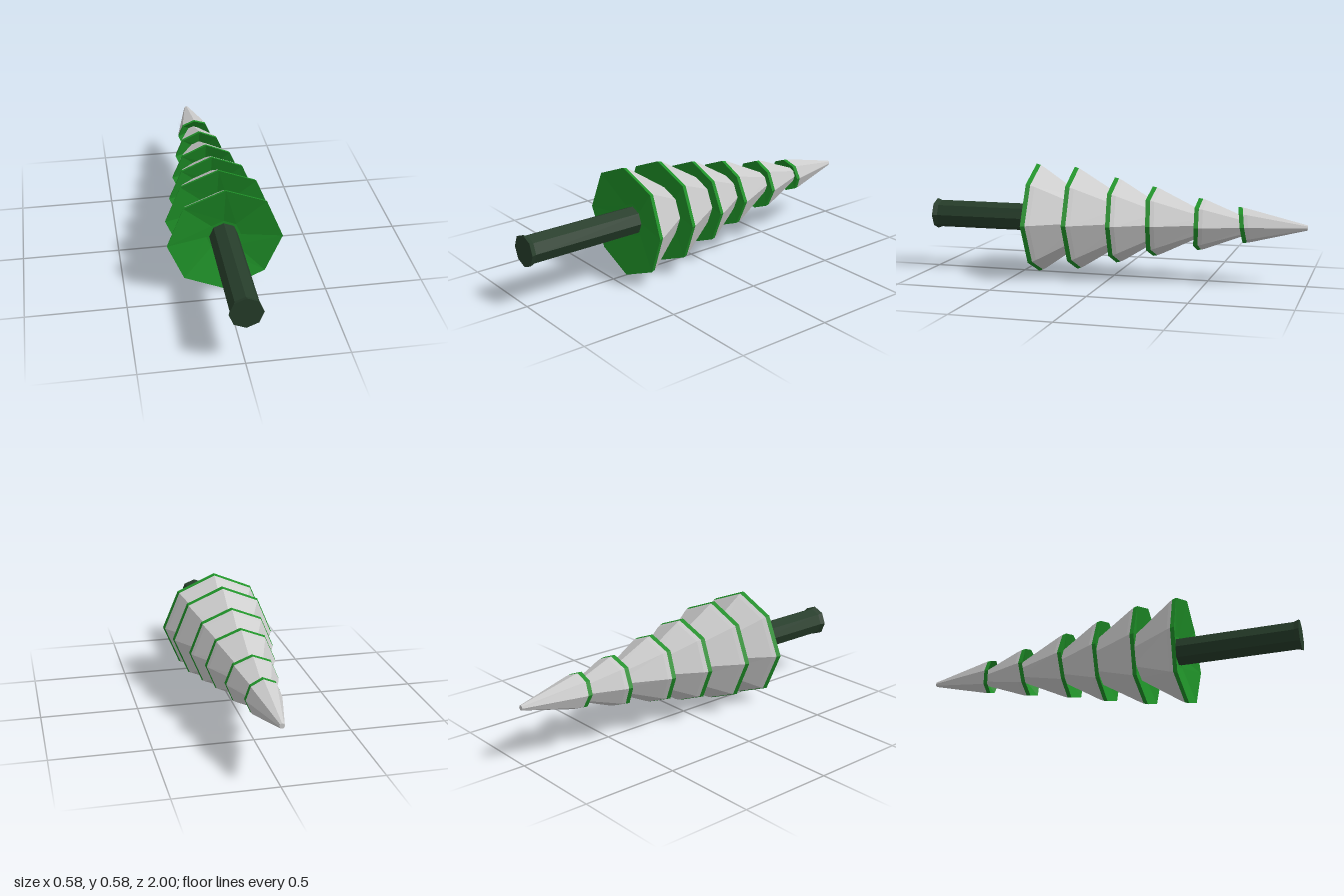
import * as THREE from 'three';

const SIDES = 8;
const AXIS_Y = 0.29;

// Faceted material in one colour
const paint = (color) => new THREE.MeshStandardMaterial({ color, flatShading: true, side: THREE.DoubleSide });

// Eight-sided turned part; profile pairs are [radius, height along the tree]
function turned(name, profile, material, warp) {
  const geometry = new THREE.LatheGeometry(profile.map(([r, h]) => new THREE.Vector2(r, h)), SIDES);
  if (warp) {
    const p = geometry.attributes.position;
    for (let i = 0; i < p.count; i++) {
      const r = Math.hypot(p.getX(i), p.getZ(i));
      if (r > 1e-4) p.setY(i, p.getY(i) + warp(Math.atan2(p.getX(i), p.getZ(i)), r));
    }
    geometry.computeVertexNormals();
  }
  const mesh = new THREE.Mesh(geometry, material);
  mesh.name = name;
  return mesh;
}

export function createModel() {
  const green = paint(0x1f9128);
  const bark = paint(0x263d2a);
  const snow = paint(0xcccccc);

  const tree = new THREE.Group();
  tree.name = 'fallenTree';

  // Trunk with a slightly flared foot
  tree.add(turned('trunk', [[0, -1], [0.082, -1], [0.073, -0.975], [0.072, -0.3], [0, -0.3]], bark));

  // Tiers: rim height, rim radius, top height, top radius, tilt, sideways tilt, lift off the axis
  const tiers = [
    [-0.418, 0.289, -0.2, 0.148, 0.003, -0.005, 0],
    [-0.207, 0.272, 0.02, 0.14, 0.005, -0.005, 0.006],
    [0.006, 0.225, 0.205, 0.115, 0.004, -0.007, 0.005],
    [0.204, 0.182, 0.445, 0.075, 0.002, -0.003, 0.008],
    [0.442, 0.135, 0.67, 0.053, -0.003, -0.004, 0.004],
    [0.664, 0.092, 1, 0.013, 0.013, -0.01, 0.01],
  ];

  tiers.forEach(([h, R, topH, topR, tilt, side, lift], i) => {
    const last = i === tiers.length - 1;
    // Uneven rim: tilted, with alternate corners drooping
    const warp = (a, r) => (r < R * 0.5 ? 0 :
      -(r / R) * (tilt * Math.cos(a) + side * Math.sin(a) + 0.004 * Math.cos(4 * a + i)));

    const tier = new THREE.Group();
    tier.name = 'tier' + (i + 1);
    tier.position.z = lift;

    // Hollowed underside and the green edge band
    tier.add(turned('needles', [
      [0, h + 0.05], [R * 0.3, h + 0.045], [R, h], [R * 0.975, h + 0.022],
    ], green, warp));

    // Snow: narrow bevel, then the long slope running up into the next tier
    const bevelR = R * 0.935, bevelH = h + 0.042;
    const slope = (topR - bevelR) / (topH - bevelH);
    const extra = last ? 0 : 0.05;
    tier.add(turned('snow', [
      [R * 0.975, h + 0.022], [bevelR, bevelH],
      [Math.max(topR + slope * extra, 0.01), topH + extra], [0, topH + extra],
    ], snow, warp));
    tree.add(tier);
  });

  // Lay the tree down with its tip pointing backwards
  tree.rotation.x = -Math.PI / 2;
  tree.position.y = AXIS_Y;

  const model = new THREE.Group();
  model.name = 'snowyTree';
  model.add(tree);
  return model;
}
